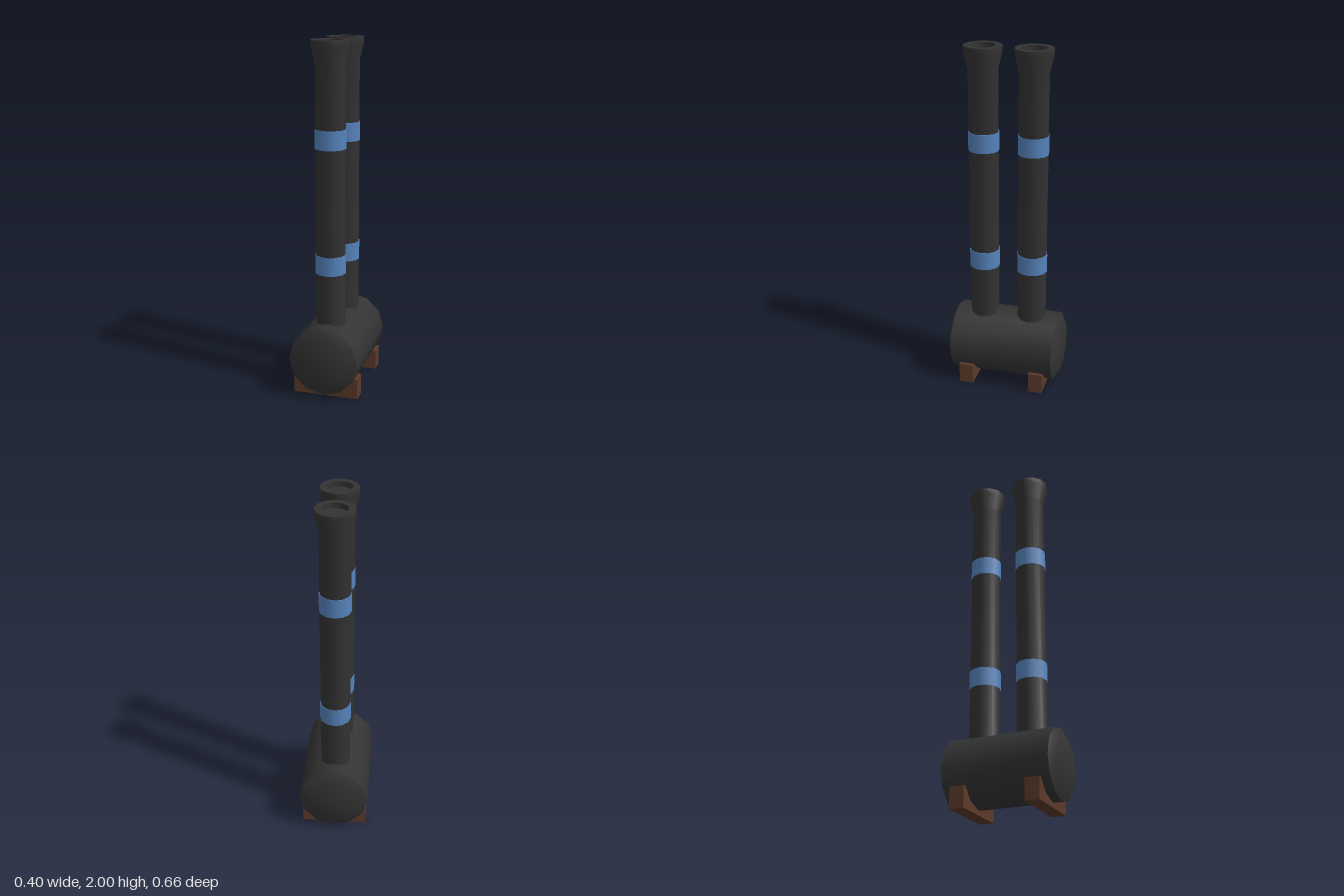
import * as THREE from 'three';
import { toCreasedNormals } from 'three/addons/utils/BufferGeometryUtils.js';

const SIDES = 12;

function material(name, color) {
  const m = new THREE.MeshStandardMaterial({ color });
  m.name = name;
  return m;
}

// Turned part from [radius, height] pairs, listed from bottom to top
function turned(profile) {
  const points = profile.map(([r, y]) => new THREE.Vector2(r, y));
  return toCreasedNormals(new THREE.LatheGeometry(points, SIDES), 0.6);
}

export function createModel() {
  const model = new THREE.Group();
  const iron = material('darkIron', 0x333333);
  const blue = material('blueBand', 0x5583bb);
  const wood = material('brownWood', 0x5c3a2a);

  function add(name, geometry, mat, x, y, z) {
    const mesh = new THREE.Mesh(geometry, mat);
    mesh.name = name;
    mesh.position.set(x, y, z);
    model.add(mesh);
    return mesh;
  }

  // Horizontal drum with chamfered ends
  const drum = turned([[0, -0.33], [0.142, -0.33], [0.2, -0.303], [0.2, 0.303], [0.142, 0.33], [0, 0.33]]);
  add('drum', drum, iron, 0, 0.226, 0).rotation.x = Math.PI / 2;

  // Chimney with a flared, recessed mouth
  const chimney = turned([
    [0, 0.3], [0.085, 0.3], [0.085, 1.875], [0.108, 1.965],
    [0.108, 2], [0.071, 2], [0.071, 1.97], [0, 1.97],
  ]);
  const band = new THREE.CylinderGeometry(0.0885, 0.0885, 0.107, SIDES);
  const foot = new THREE.BoxGeometry(0.376, 0.12, 0.082);

  for (const side of [1, -1]) {
    const end = side > 0 ? 'front' : 'back';
    add(end + 'Chimney', chimney, iron, 0, 0, side * 0.142);
    add(end + 'LowerBand', band, blue, 0, 0.763, side * 0.142);
    add(end + 'UpperBand', band, blue, 0, 1.471, side * 0.142);
    // Wooden cradle under the drum
    add(end + 'Foot', foot, wood, 0, 0.06, side * 0.211);
  }
  return model;
}
